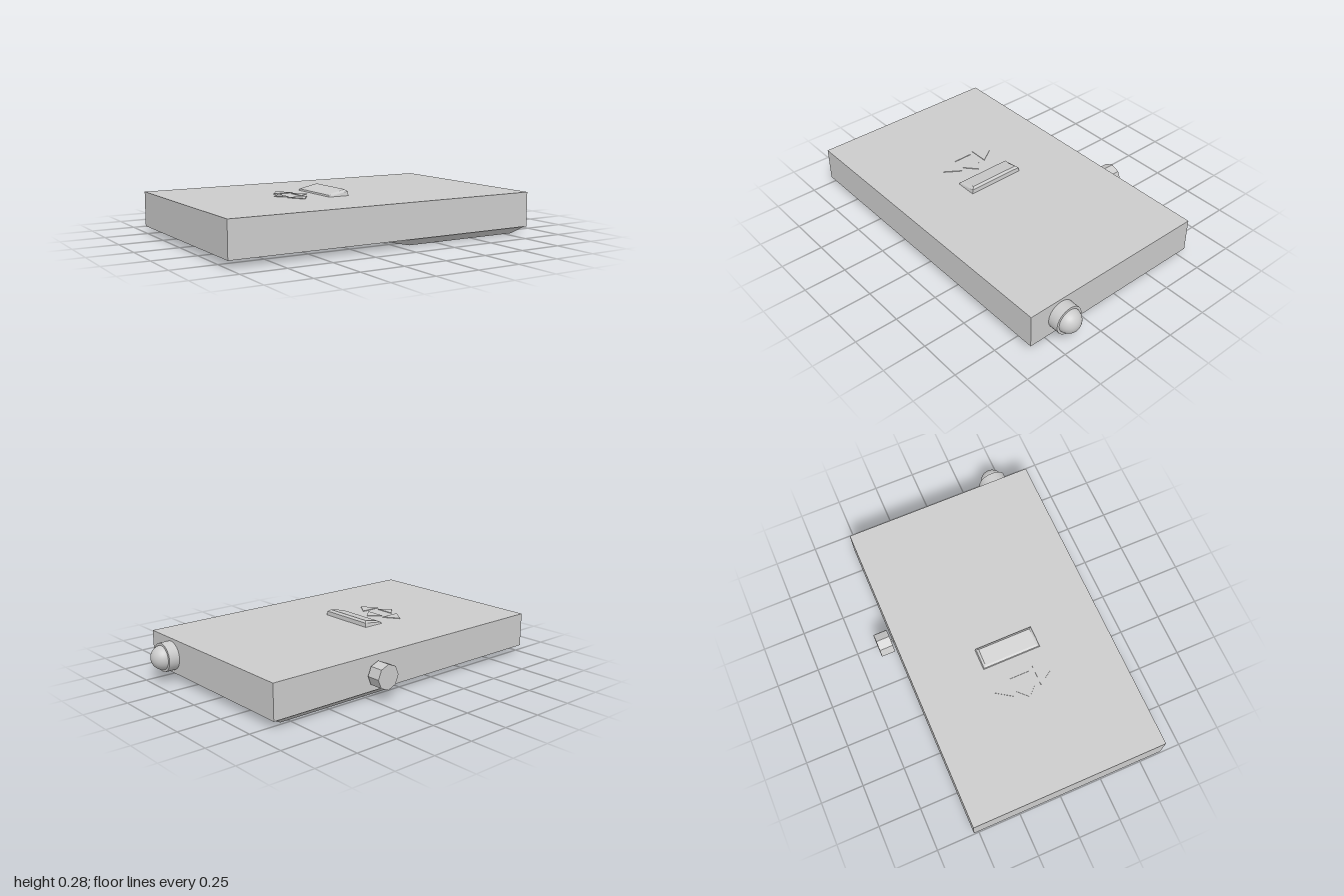
import * as THREE from 'three';

const material = new THREE.MeshStandardMaterial({ color: 0xcccccc });
const flat = new THREE.MeshStandardMaterial({ color: 0xcccccc, flatShading: true });

// Closed solid through rings of [x, y, z], each counter-clockwise seen from above, lowest first.
function loft(rings) {
  const n = rings[0].length, pos = [];
  const tri = (a, b, c) => pos.push(...a, ...b, ...c);
  for (let r = 0; r < rings.length - 1; r++) {
    const lo = rings[r], hi = rings[r + 1];
    for (let i = 0; i < n; i++) {
      const j = (i + 1) % n;
      tri(lo[i], lo[j], hi[j]);
      tri(lo[i], hi[j], hi[i]);
    }
  }
  const bottom = rings[0], top = rings[rings.length - 1];
  for (let i = 1; i < n - 1; i++) {
    tri(bottom[0], bottom[i + 1], bottom[i]);
    tri(top[0], top[i], top[i + 1]);
  }
  const g = new THREE.BufferGeometry();
  g.setAttribute('position', new THREE.Float32BufferAttribute(pos, 3));
  g.computeVertexNormals();
  return g;
}

// Rectangular ring whose height may differ between its -x and +x ends.
const rect = (x0, x1, z0, z1, y0, y1 = y0) =>
  [[x0, y0, z1], [x1, y1, z1], [x1, y1, z0], [x0, y0, z0]];

export function createModel() {
  const model = new THREE.Group();
  const add = (name, geometry, mat = flat, parent = model) => {
    const mesh = new THREE.Mesh(geometry, mat);
    mesh.name = name;
    parent.add(mesh);
    return mesh;
  };

  // Slab body
  add('body', new THREE.BoxGeometry(1.875, 0.2, 1.15)).position.set(-0.0625, 0.14, 0.045);

  // Raised pad underneath: bevelled sides and a long ramp narrowing toward -x
  const padBottom = [[0.08, 0.575], [0.08, 0.575], [0.8, 0.575], [0.8, -0.48], [0.08, -0.48], [0.08, -0.48]];
  const padTop = [[-0.14, 0.455], [0.06, 0.615], [0.865, 0.615], [0.865, -0.525], [0.06, -0.525], [-0.14, -0.355]];
  add('bottomPad', loft([padBottom.map(([x, z]) => [x, 0, z]), padTop.map(([x, z]) => [x, 0.04, z])]));

  // Tilted rocker switch
  add('rockerSwitch', loft([
    rect(-0.21, -0.085, -0.13, 0.22, 0.239),
    rect(-0.207, -0.087, -0.125, 0.215, 0.249, 0.264),
    rect(-0.195, -0.1, -0.112, 0.2, 0.255, 0.275),
  ]));

  // Four thin arrows pointing outward from a common centre
  const arrows = new THREE.Group();
  arrows.name = 'arrowMarks';
  arrows.position.set(-0.36, 0, 0.045);
  model.add(arrows);
  [['frontArrow', 0, 0.085, 0.175], ['rightArrow', 1, 0.04, 0.108],
    ['backArrow', 2, 0.085, 0.175], ['leftArrow', 3, 0.04, 0.1]].forEach(([name, turn, base, tip]) => {
    const ring = (y) => [[-0.06, y, base], [0, y, tip], [0.06, y, base]];
    add(name, loft([ring(0.238), ring(0.244)]), flat, arrows).rotation.y = turn * Math.PI / 2;
  });

  // Round knob with a domed end on the side
  const sideKnob = new THREE.Group();
  sideKnob.name = 'sideKnob';
  sideKnob.position.set(0.875, 0.14, 0.42);
  sideKnob.rotation.z = -Math.PI / 2;
  model.add(sideKnob);
  add('knobCollar', new THREE.CylinderGeometry(0.083, 0.083, 0.065, 32), material, sideKnob).position.y = 0.03;
  add('knobDome', new THREE.SphereGeometry(0.07, 32, 20), material, sideKnob).position.y = 0.055;

  // Octagonal knob on a thin stem at the back
  const backKnob = new THREE.Group();
  backKnob.name = 'backKnob';
  backKnob.position.set(0.2, 0.137, -0.53);
  backKnob.rotation.x = -Math.PI / 2;
  model.add(backKnob);
  add('knobStem', new THREE.CylinderGeometry(0.008, 0.008, 0.05, 8), flat, backKnob).position.y = 0.01;
  add('octagonKnob', new THREE.CylinderGeometry(0.072, 0.072, 0.08, 8), flat, backKnob).position.y = 0.055;

  return model;
}
